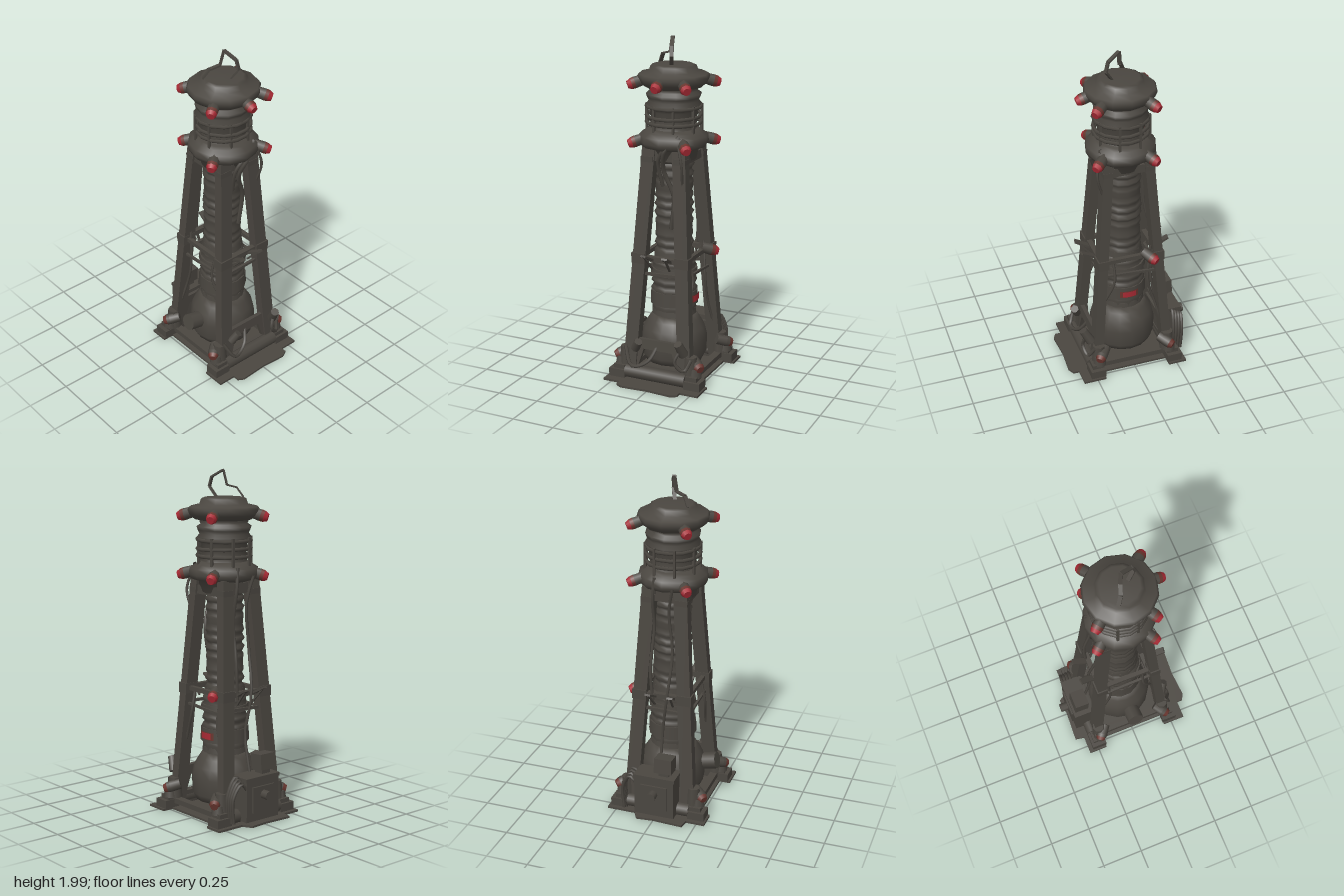
import * as THREE from 'three';

const mat = (name, color, side = THREE.FrontSide) => {
  const m = new THREE.MeshStandardMaterial({ color, side });
  m.name = name;
  return m;
};
const V = (a) => new THREE.Vector3(...a);

export function createModel() {
  const steel = mat('dark steel', 0x4a4640, THREE.DoubleSide);
  const red = mat('red lamp', 0xa82a34);
  const dimRed = mat('dim red lamp', 0x69362f);
  const root = new THREE.Group();
  root.name = 'tower';

  const add = (name, geo, material = steel, pos = [0, 0, 0], rot = [0, 0, 0], parent = root) => {
    const m = new THREE.Mesh(geo, material);
    m.name = name;
    m.position.set(...pos);
    m.rotation.set(...rot);
    parent.add(m);
    return m;
  };
  const box = (name, size, pos, rot) => add(name, new THREE.BoxGeometry(...size), steel, pos, rot);
  const lathe = (name, pts, seg, pos) =>
    add(name, new THREE.LatheGeometry(pts.map((p) => new THREE.Vector2(...p)), seg), steel, pos);
  const cable = (name, pts, r = 0.009) =>
    add(name, new THREE.TubeGeometry(new THREE.CatmullRomCurve3(pts.map(V)), 14, r, 5));
  // straight bar between two points, rectangular section w x d
  const bar = (name, a, b, w, d = w) => {
    const p = V(a), q = V(b);
    const m = add(name, new THREE.BoxGeometry(w, d, p.distanceTo(q)));
    m.position.copy(p).add(q).multiplyScalar(0.5);
    m.lookAt(q);
    return m;
  };
  // upright post leaning between two points, its section kept square to the axes
  const post = (name, a, b, w, d) => {
    const h = b[1] - a[1];
    const geo = new THREE.BoxGeometry(w, h, d);
    geo.applyMatrix4(new THREE.Matrix4().set(
      1, (b[0] - a[0]) / h, 0, 0, 0, 1, 0, 0, 0, (b[2] - a[2]) / h, 1, 0, 0, 0, 0, 1));
    return add(name, geo, steel, a.map((v, i) => (v + b[i]) / 2));
  };
  // lamp pointing outwards and a little down: holder, dim rim and lens
  const lamp = (x, y, z, lens = red, rim = dimRed) => {
    const g = new THREE.Group();
    g.name = 'signalLamp';
    g.position.set(x, y, z);
    g.rotation.set(0.3, Math.atan2(x, z), 0, 'YXZ');
    root.add(g);
    const tilt = [Math.PI / 2, 0, 0];
    add('lampHolder', new THREE.CylinderGeometry(0.034, 0.03, 0.06, 8), steel, [0, 0, -0.04], tilt, g);
    add('lampRim', new THREE.CylinderGeometry(0.032, 0.034, 0.02, 8), rim, [0, 0, 0], tilt, g);
    add('lampLens', new THREE.CylinderGeometry(0.022, 0.032, 0.022, 8), lens, [0, 0, 0.021], tilt, g);
  };

  // ground plate with corner tabs and rounded aprons front and back
  const outline = [
    [-0.3, 0.31], [-0.19, 0.31], [-0.18, 0.365], [0, 0.355], [0.1, 0.365], [0.13, 0.31], [0.3, 0.31],
    [0.3, 0.2], [0.235, 0.2], [0.235, -0.2], [0.3, -0.2], [0.3, -0.335], [0.19, -0.335], [0.19, -0.37],
    [0.15, -0.39], [0, -0.38], [-0.16, -0.39], [-0.195, -0.37], [-0.195, -0.335], [-0.3, -0.335],
    [-0.3, -0.2], [-0.235, -0.2], [-0.235, 0.2], [-0.3, 0.2],
  ];
  const plate = new THREE.Shape(outline.map((p) => new THREE.Vector2(...p)));
  add('groundPlate', new THREE.ExtrudeGeometry(plate, { depth: 0.012, bevelEnabled: false }), steel, [0, 0, 0], [-Math.PI / 2, 0, 0]);

  // ribbed inner column, rib radius varied by a rule
  lathe('baseDrum', [[0, 0.08], [0.17, 0.08], [0.19, 0.12], [0.195, 0.22], [0.18, 0.28], [0.15, 0.33], [0.13, 0.36], [0, 0.36]], 16);
  const ribs = [];
  for (let i = 0; i <= 64; i++) {
    const y = 0.33 + i * 0.0155;
    const r = y < 0.69 ? 0.125 : 0.105;
    ribs.push([r + (i % 3 === 0 ? 0.007 : 0) + 0.005 * Math.sin(i * 1.7), y]);
  }
  lathe('ribbedColumn', ribs, 12);
  for (const [y, r, h] of [[0.38, 0.128, 0.03], [0.47, 0.138, 0.08], [0.63, 0.136, 0.035], [0.73, 0.115, 0.035]]) {
    add('columnBand', new THREE.CylinderGeometry(r, r + 0.004, h, 14), steel, [0, y, 0]);
  }
  // curved red panel on the left side of the column
  const panel = (name, r, h, arc, material) =>
    add(name, new THREE.CylinderGeometry(r, r, h, 8, 1, true, Math.PI / 2 - arc / 2, arc), material, [0, 0.47, 0]);
  panel('redPanelRim', 0.144, 0.045, 0.8, dimRed);
  panel('redPanel', 0.146, 0.036, 0.55, red);

  // corner legs, feet and corner lamps
  for (const sx of [-1, 1]) {
    for (const sz of [-1, 1]) {
      post('leg', [sx * 0.177, 0.03, sz * 0.222], [sx * 0.092, 1.38, sz * 0.117], 0.08, 0.055);
      box('foot', [0.1, 0.05, 0.09], [sx * 0.238, 0.035, sz * 0.24]);
      box('footCap', [0.07, 0.03, 0.07], [sx * 0.228, 0.07, sz * 0.235]);
      add('legSocket', new THREE.CylinderGeometry(0.036, 0.045, 0.12, 8), steel, [sx * 0.205, 0.13, sz * 0.215]);
      add('footCone', new THREE.CylinderGeometry(0.03, 0.04, 0.05, 8), steel, [sx * 0.235, 0.1, sz * 0.22]);
      lamp(sx * 0.25, 0.135, sz * 0.212, dimRed, steel);
      box('legCollar', [0.075, 0.045, 0.055], [sx * 0.1, 1.3, sz * 0.124]);
      box('midClamp', [0.085, 0.06, 0.065], [sx * 0.136, 0.73, sz * 0.168]);
    }
    // side rails and cross bars
    box('sideRail', [0.045, 0.03, 0.46], [sx * 0.2, 0.05, 0]);
    bar('sideCrossBar', [sx * 0.14, 0.73, -0.17], [sx * 0.14, 0.73, 0.17], 0.025);
    bar('sideBrace', [sx * 0.15, 0.62, -0.18], [sx * 0.15, 0.64, 0.18], 0.014);
    box('sideHeader', [0.03, 0.05, 0.24], [sx * 0.11, 1.31, 0]);
  }

  // trapezoid frame with an opening, front and back
  const frame = new THREE.Shape([[-0.2, 0.01], [0.2, 0.01], [0.165, 0.2], [0.13, 0.25], [-0.13, 0.25], [-0.165, 0.2]].map((p) => new THREE.Vector2(...p)));
  frame.holes.push(new THREE.Path([[-0.12, 0.09], [-0.09, 0.19], [0.09, 0.19], [0.12, 0.09]].map((p) => new THREE.Vector2(...p))));
  const frameGeo = new THREE.ExtrudeGeometry(frame, { depth: 0.025, bevelEnabled: false });
  for (const s of [-1, 1]) {
    add('baseFrame', frameGeo, steel, [0, 0, s * 0.23 - 0.0125], [-s * 0.08, 0, 0]);
    add('baseRoll', new THREE.CylinderGeometry(0.04, 0.04, 0.38, 10), steel, [0, 0.05, s * 0.248], [0, 0, Math.PI / 2]);
    bar('crossBar', [-0.16, 0.73, s * 0.17], [0.16, 0.73, s * 0.17], 0.03);
    bar('lowerCrossBar', [-0.16, 0.635, s * 0.175], [0.16, 0.645, s * 0.175], 0.016);
    box('frameHeader', [0.23, 0.06, 0.03], [0, 1.33, s * 0.125]);
    // small brackets sticking out at mid height
    for (const x of [-0.06, 0.05]) {
      bar('bracket', [x, 0.72, s * 0.17], [x * 1.2, 0.77, s * 0.265], 0.035, 0.012);
      bar('bracketStay', [x, 0.67, s * 0.17], [x * 1.2, 0.76, s * 0.25], 0.01);
    }
  }

  // collar carrying the lower lamp ring, then the ribbed head
  lathe('collar', [[0.1, 1.28], [0.135, 1.3], [0.145, 1.36], [0.19, 1.375], [0.203, 1.4], [0.198, 1.435], [0.165, 1.455], [0.15, 1.47], [0.1, 1.48]], 12, [0, 0, 0.008]);
  lathe('headCore', [[0.14, 1.46], [0.125, 1.49], [0.135, 1.51], [0.122, 1.53], [0.14, 1.55], [0.13, 1.57], [0.15, 1.59], [0.158, 1.61],
    [0.142, 1.63], [0.152, 1.65], [0.158, 1.67], [0.135, 1.685], [0.142, 1.7], [0.14, 1.73]], 12, [0, 0, 0.006]);
  for (const y of [1.505, 1.545, 1.595]) {
    add('headRing', new THREE.TorusGeometry(0.155, 0.011, 5, 14), steel, [0, y, 0.006], [Math.PI / 2 + 0.03 * Math.sin(y * 90), 0, 0]);
  }
  for (let i = 0; i < 8; i++) {
    const a = (i + 0.5) * Math.PI / 4;
    bar('headStay', [Math.sin(a) * 0.155, 1.45, Math.cos(a) * 0.155], [Math.sin(a) * 0.155, 1.61, Math.cos(a) * 0.155], 0.014);
  }
  lathe('cap', [[0.12, 1.7], [0.165, 1.71], [0.195, 1.735], [0.207, 1.765], [0.195, 1.782], [0.14, 1.795], [0.13, 1.825], [0.11, 1.833], [0, 1.836]], 12, [0, 0, 0.01]);

  // lamp rings
  const spots = [[-0.135, -0.17], [0.195, -0.122], [-0.19, 0.137], [0.155, 0.187]];
  for (const y of [1.395, 1.73]) for (const [x, z] of spots) lamp(x, y, z);
  lamp(0, 1.735, 0.23);
  lamp(0.19, 0.73, -0.125);
  bar('lampBracket', [0.12, 0.73, -0.125], [0.17, 0.735, -0.125], 0.04);

  // bent aerial on the cap
  const aerial = [[-0.105, 1.83, -0.04], [-0.075, 1.885, -0.015], [-0.02, 1.9, 0.005], [-0.002, 1.985, 0.015], [0.025, 1.945, 0.085], [0.03, 1.89, 0.1], [0.01, 1.83, 0.06]];
  for (let i = 0; i < aerial.length - 1; i++) bar('aerial', aerial[i], aerial[i + 1], 0.022, 0.01);

  // equipment box at the back with knob, hatch and vent
  box('equipmentBox', [0.24, 0.24, 0.12], [0, 0.145, -0.275]);
  box('equipmentLid', [0.25, 0.02, 0.13], [0, 0.27, -0.272]);
  box('equipmentHatch', [0.16, 0.15, 0.015], [0, 0.15, -0.338]);
  add('equipmentKnob', new THREE.CylinderGeometry(0.027, 0.027, 0.06, 8), steel, [0, 0.175, -0.362], [Math.PI / 2, 0, 0]);
  box('ventNeck', [0.06, 0.08, 0.06], [-0.05, 0.3, -0.275]);
  box('ventHead', [0.105, 0.09, 0.085], [-0.05, 0.35, -0.28], [0.08, 0, 0]);
  for (let i = 0; i < 4; i++) {
    const z = -0.325 + i * 0.018;
    cable('hose', [[0.1, 0.2 + i * 0.015, z], [0.15, 0.255 + i * 0.01, z], [0.2, 0.18, z + 0.01], [0.195, 0.03, z + 0.015]], 0.01);
  }

  // tilted drum on the right side
  add('sideDrum', new THREE.CylinderGeometry(0.05, 0.05, 0.08, 10), steel, [-0.236, 0.255, 0.01], [0, 0, Math.PI / 2 - 0.22]);
  bar('sideDrumArm', [-0.15, 0.23, 0.01], [-0.22, 0.252, 0.01], 0.045);

  // canisters and loose pipes at the front of the base
  add('canister', new THREE.CylinderGeometry(0.025, 0.029, 0.09, 8), steel, [0.17, 0.25, 0.275], [0.5, 0, 0.2]);
  add('canister', new THREE.CylinderGeometry(0.024, 0.026, 0.07, 8), steel, [-0.12, 0.22, 0.255], [0.4, 0, -0.5]);
  cable('frontPipe', [[0.17, 0.25, 0.275], [0.14, 0.17, 0.295], [0.19, 0.12, 0.28], [0.22, 0.18, 0.245]], 0.011);
  cable('frontPipe', [[-0.2, 0.2, 0.24], [-0.14, 0.1, 0.285], [-0.05, 0.13, 0.26], [0, 0.24, 0.2]], 0.011);

  // hanging cables
  cable('cable', [[0.1, 1.45, 0.15], [0.03, 1.38, 0.185], [0, 1.25, 0.14], [0.05, 1.1, 0.115], [0.03, 0.9, 0.105]], 0.013);
  cable('cable', [[0.03, 1.4, 0.18], [-0.03, 1.3, 0.15], [-0.02, 1.15, 0.11]], 0.011);
  cable('cable', [[0.1, 1.42, 0.17], [0.13, 1.3, 0.185], [0.12, 1.17, 0.15]], 0.008);
  cable('cable', [[0.05, 1.45, -0.17], [0.06, 1.32, -0.175], [0.06, 1.15, -0.145], [0.07, 0.9, -0.185], [0.06, 0.7, -0.18]], 0.01);
  cable('cable', [[-0.06, 1.4, -0.18], [-0.03, 1.25, -0.155], [-0.05, 1, -0.15], [-0.03, 0.72, -0.2], [0, 0.5, -0.18], [0, 0.28, -0.22]], 0.009);
  for (const s of [-1, 1]) {
    cable('sideCable', [[s * 0.14, 0.73, 0.1], [s * 0.165, 0.6, 0.1], [s * 0.15, 0.45, 0.16], [s * 0.16, 0.33, 0.2]], 0.008);
    cable('sideCable', [[s * 0.13, 0.78, -0.13], [s * 0.15, 0.55, -0.11], [s * 0.15, 0.4, -0.15], [s * 0.18, 0.2, -0.2]], 0.008);
  }
  return root;
}
